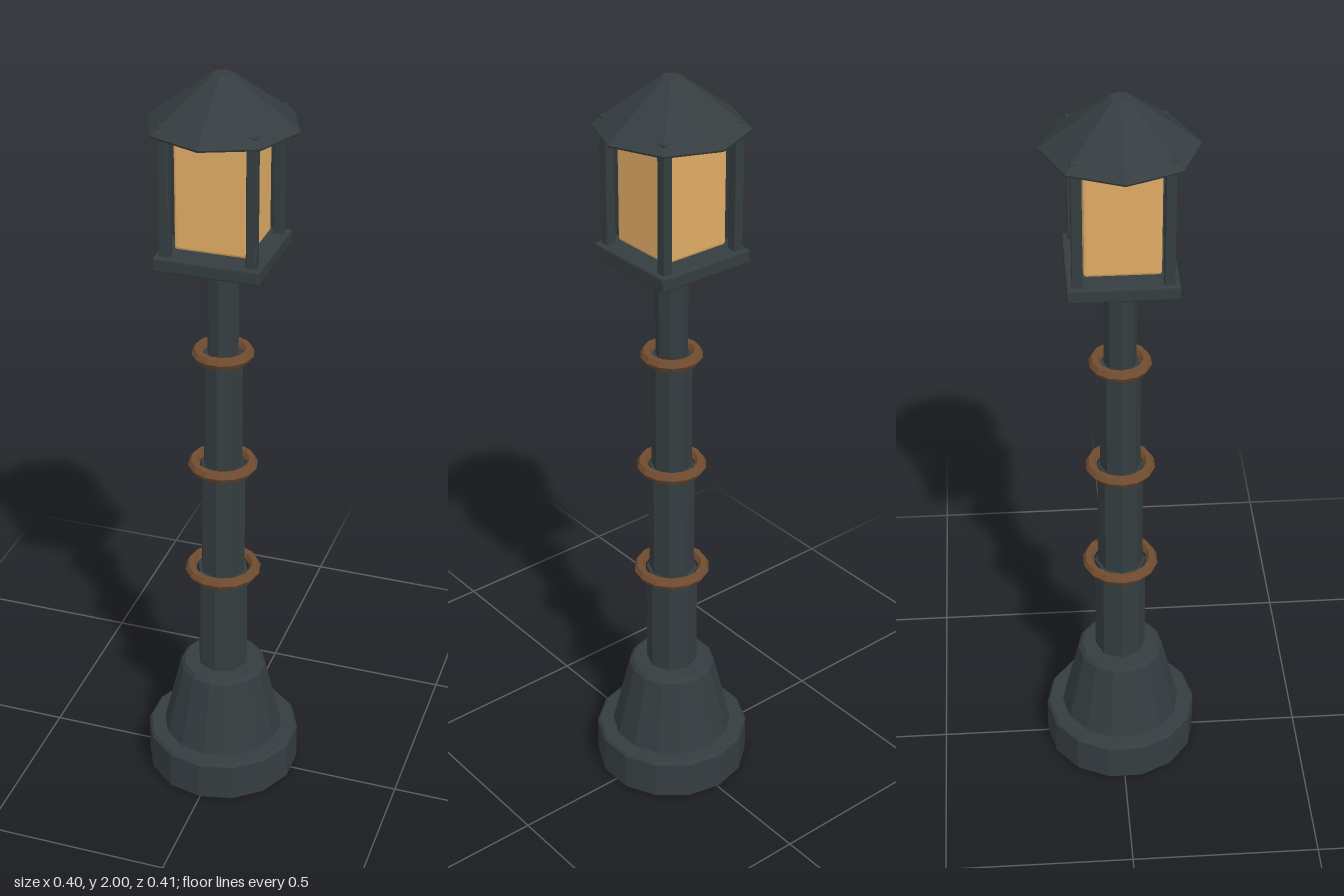
import * as THREE from 'three';
import { RoundedBoxGeometry } from 'three/addons/geometries/RoundedBoxGeometry.js';

const mat = (color) => {
  const m = new THREE.MeshStandardMaterial({ flatShading: true });
  m.color.set(color);
  return m;
};

export function createModel() {
  const lamp = new THREE.Group();
  lamp.name = 'streetLamp';
  const iron = mat(0x353d40);
  const bronze = mat(0x704c30);
  const glass = mat(0xe0ac66);

  const add = (name, geometry, material, x = 0, y = 0, z = 0) => {
    const mesh = new THREE.Mesh(geometry, material);
    mesh.name = name;
    mesh.position.set(x, y, z);
    lamp.add(mesh);
    return mesh;
  };
  // Faceted turned part from [radius, height] pairs, bottom to top
  const turned = (name, profile, sides) =>
    add(name, new THREE.LatheGeometry(profile.map(([r, y]) => new THREE.Vector2(r, y)), sides), iron);
  // Box with a small chamfer, placed by its bottom and top
  const block = (name, width, bottom, top, chamfer, material, x = 0, z = 0) =>
    add(name, new RoundedBoxGeometry(width, top - bottom, width, 1, chamfer), material, x, (bottom + top) / 2, z);

  // Foot: chamfered plinth and tapered pedestal
  turned('plinth', [[0, 0], [0.2, 0], [0.207, 0.008], [0.207, 0.112], [0.2, 0.12], [0, 0.12]], 14);
  turned('pedestal', [[0, 0.115], [0.164, 0.115], [0.116, 0.322], [0.106, 0.333], [0, 0.333]], 14);

  // Stepped shaft, with a ring over each step
  const steps = [0.32, 0.632, 0.953, 1.274, 1.54];
  [0.068, 0.06, 0.052, 0.041].forEach((r, i) => {
    turned('shaftSection', [[0, steps[i]], [r, steps[i]], [r, steps[i + 1]], [0, steps[i + 1]]], 8);
  });
  [0.086, 0.076, 0.065].forEach((r, i) => {
    const ring = add('shaftRing', new THREE.TorusGeometry(r, 0.015, 6, 14), bronze, 0, steps[i + 1], 0);
    ring.rotation.x = Math.PI / 2;
  });

  // Lantern: tray, glass and four corner posts
  block('lanternTray', 0.27, 1.534, 1.571, 0.005, iron);
  block('lanternGlass', 0.186, 1.58, 1.875, 0.007, glass);
  for (const x of [-0.109, 0.109]) {
    for (const z of [-0.109, 0.109]) block('lanternPost', 0.026, 1.56, 1.9, 0.003, iron, x, z);
  }

  // Eight-sided roof with a blunt tip
  turned('roof', [[0, 1.873], [0.188, 1.873], [0.19, 1.878], [0.041, 1.988], [0.025, 2], [0, 2]], 8);

  return lamp;
}
